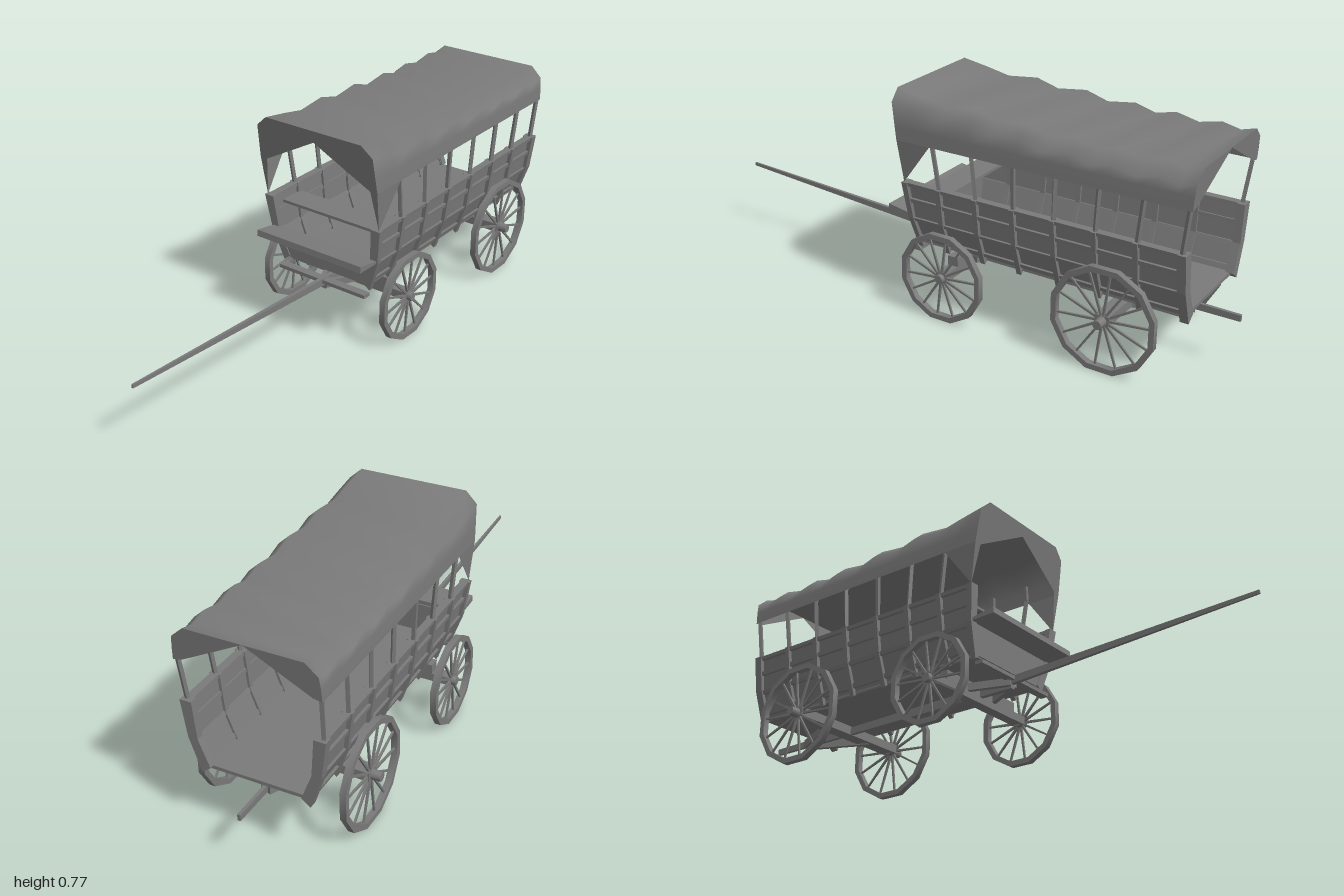
import * as THREE from 'three';
import { toCreasedNormals } from 'three/addons/utils/BufferGeometryUtils.js';

const wood = new THREE.MeshStandardMaterial({ color: 0x7a7a7a });
const cloth = new THREE.MeshStandardMaterial({ color: 0x7a7a7a, side: THREE.DoubleSide });
const V = (x, y, z) => new THREE.Vector3(x, y, z);
const lerp = THREE.MathUtils.lerp;

export function createModel() {
  const root = new THREE.Group();
  root.name = 'coveredWagon';

  const add = (name, geo, parent = root, mat = wood) => {
    const m = new THREE.Mesh(geo, mat);
    m.name = name;
    parent.add(m);
    return m;
  };
  const box = (name, x0, x1, y0, y1, z0, z1) => {
    const m = add(name, new THREE.BoxGeometry(x1 - x0, y1 - y0, z1 - z0));
    m.position.set((x0 + x1) / 2, (y0 + y1) / 2, (z0 + z1) / 2);
  };
  // square timber from a to b, optionally tapering
  const beam = (name, a, b, w, d = w, parent = root, taper = 1) => {
    const g = new THREE.BoxGeometry(w, d, a.distanceTo(b));
    const p = g.attributes.position;
    for (let i = 0; i < p.count; i++)
      if (p.getZ(i) > 0) p.setXY(i, p.getX(i) * taper, p.getY(i) * taper);
    const m = add(name, g, parent);
    m.position.copy(a).add(b).multiplyScalar(0.5);
    m.lookAt(b);
  };

  // ---- wheels ----
  const wheel = (name, x, apothem, z, side, hubOut) => {
    const g = new THREE.Group();
    g.name = name;
    const ro = apothem / Math.cos(Math.PI / 12), ri = ro - 0.019, h = 0.011;
    const ring = [[ri, -h], [ro, -h], [ro, h], [ri, h], [ri, -h]].map(p => new THREE.Vector2(...p));
    const rim = new THREE.LatheGeometry(ring, 12, Math.PI / 12).rotateX(Math.PI / 2);
    add('rim', toCreasedNormals(rim, 0.7), g);
    for (let i = 0; i < 14; i++) {
      const a = (i / 14) * Math.PI * 2 + 0.1, c = Math.cos(a), s = Math.sin(a);
      beam('spoke', V(c * 0.01, s * 0.01, 0), V(c * (ri + 0.004), s * (ri + 0.004), 0), 0.008, 0.008, g, 0.75);
    }
    const len = hubOut - z + 0.025;
    const hub = add('hub', new THREE.CylinderGeometry(0.015, 0.02, len, 10).rotateX(side * Math.PI / 2), g);
    hub.position.z = side * (len / 2 - 0.025);
    g.position.set(x, apothem, side * z);
    root.add(g);
  };
  for (const s of [1, -1]) {
    wheel('frontWheel', 0.05, 0.155, 0.251, s, 0.27);
    wheel('rearWheel', 0.65, 0.178, 0.248, s, 0.287);
  }

  // ---- running gear ----
  box('frontAxle', 0.03, 0.07, 0.143, 0.172, -0.255, 0.255);
  box('frontBolster', 0.03, 0.07, 0.172, 0.205, -0.184, 0.184);
  box('rearAxle', 0.625, 0.675, 0.165, 0.197, -0.255, 0.255);
  box('doubletree', -0.115, -0.085, 0.192, 0.205, -0.184, 0.184);
  beam('reach', V(-0.1, 0.183, 0), V(1, 0.178, 0), 0.018, 0.036, root, 0.6);
  beam('tongue', V(0.1, 0.183, 0), V(-1, 0.247, 0), 0.017, 0.03, root, 0.4);
  for (const s of [1, -1]) {
    beam('rearHound', V(0.64, 0.176, s * 0.104), V(0.85, 0.176, s * 0.008), 0.016, 0.03);
    beam('frontHound', V(0.1, 0.176, s * 0.1), V(-0.1, 0.186, s * 0.01), 0.016, 0.026);
  }

  // ---- body: flared side profile as [z, y] ----
  const outer = [[0.185, 0.213], [0.225, 0.33], [0.243, 0.46]];
  const inner = [[0.155, 0.237], [0.192, 0.33], [0.203, 0.46]];
  const between = f => outer.map((o, i) => [lerp(inner[i][0], o[0], f), lerp(inner[i][1], o[1], f)]);
  const section = (f0, f1) => [...between(f0), ...between(f1).reverse()];
  const zAt = (y, f) => {
    const p = between(f), i = y < 0.33 ? 0 : 1;
    return lerp(p[i][0], p[i + 1][0], (y - p[i][1]) / (p[i + 1][1] - p[i][1]));
  };
  // the front end leans forward
  const lean = g => {
    const p = g.attributes.position;
    for (let i = 0; i < p.count; i++) {
      const w = THREE.MathUtils.clamp(-p.getX(i) / 0.08, 0, 1);
      p.setX(i, p.getX(i) - w * 0.11 * (p.getY(i) - 0.23));
    }
    return g;
  };
  // extrude a [z, y] outline along x
  const slab = (name, pts, x0, x1) => {
    const shape = new THREE.Shape(pts.map(([z, y]) => new THREE.Vector2(-z, y)));
    const g = new THREE.ExtrudeGeometry(shape, { depth: x1 - x0, bevelEnabled: false });
    add(name, lean(g.rotateY(Math.PI / 2).translate(x0, 0, 0)));
  };
  const posts = [-0.08, 0.03, 0.17, 0.31, 0.455, 0.6, 0.74, 0.885];
  for (const s of [1, -1]) {
    const flip = pts => pts.map(([z, y]) => [s * z, y]);
    slab('sideWall', flip(section(0.35, 0.6)), -0.08, 0.9);
    for (const x of posts) slab('sidePost', flip(section(0.1, 1)), x - 0.009, x + 0.009);
    slab('tailPost', flip(section(0, 1)), 0.88, 0.905);
    for (const [y0, y1] of [[0.243, 0.257], [0.318, 0.33], [0.388, 0.402], [0.447, 0.46]])
      slab('sideRail', flip([[zAt(y0, 0.2), y0], [zAt(y0, 0.88), y0], [zAt(y1, 0.88), y1], [zAt(y1, 0.2), y1]]), -0.085, 0.895);
  }
  box('floor', -0.08, 0.89, 0.225, 0.237, -0.177, 0.177);
  slab('frontBoard', [[-0.172, 0.23], [0.172, 0.23], [0.207, 0.335], [-0.207, 0.335]], -0.085, -0.07);
  box('seat', -0.06, 0.035, 0.418, 0.428, -0.208, 0.208);
  // wedge-shaped board, thick at its front edge
  const wedge = new THREE.Shape([[-0.188, 0.335], [-0.085, 0.332], [-0.085, 0.34], [-0.185, 0.357]].map(p => new THREE.Vector2(...p)));
  add('footboard', new THREE.ExtrudeGeometry(wedge, { depth: 0.44, bevelEnabled: false }).translate(0, 0, -0.22));

  // ---- canvas cover ----
  const EAVE = 0.605;
  const ridge = [[-0.155, 0.768], [-0.06, 0.752], [0.025, 0.735], [0.14, 0.748], [0.22, 0.725], [0.33, 0.739],
    [0.41, 0.715], [0.51, 0.729], [0.585, 0.709], [0.655, 0.726], [0.735, 0.708], [0.81, 0.725], [0.875, 0.711], [0.925, 0.725]];
  const splay = (x, y) => x + (0.4 - x) * (x < 0.4 ? 0.045 : 0.02) * (1 - (y - EAVE) / 0.16);
  const pos = [], idx = [], n = 8;
  ridge.forEach(([x, top], i) => {
    const half = [[0.243, EAVE], [0.241, 0.65], [0.237, top - 0.038], [0.195, top]];
    [...half, ...half.map(([z, y]) => [-z, y]).reverse()].forEach(([z, y], j) => {
      pos.push(splay(x, y), y, z);
      if (i && j) {
        const d = i * n + j, a = d - n - 1;
        idx.push(a, d - 1, d, a, d, d - n);
      }
    });
  });
  const cover = new THREE.BufferGeometry();
  cover.setAttribute('position', new THREE.Float32BufferAttribute(pos, 3));
  cover.setIndex(idx);
  cover.computeVertexNormals();
  add('canvasCover', cover, root, cloth);

  // flat cloth panel in an end plane, outline as [z, y]
  const endPanel = (name, x, pts) => {
    const g = new THREE.ShapeGeometry(new THREE.Shape(pts.map(p => new THREE.Vector2(...p))));
    const p = g.attributes.position;
    for (let i = 0; i < p.count; i++) p.setXYZ(i, splay(x, p.getY(i)), p.getY(i), p.getX(i));
    // the swap of axes reverses the corners, so turn the front face outward at the front end
    if (x > 0) g.index.array.reverse();
    g.computeVertexNormals();
    add(name, g, root, cloth);
  };
  for (const s of [1, -1]) {
    endPanel('rearGore', 0.925, [[0, 0.725], [s * 0.195, 0.725], [s * 0.237, 0.687], [s * 0.243, EAVE], [s * 0.213, 0.611]]);
    endPanel('frontGore', -0.155, [[0, 0.768], [s * 0.195, 0.768], [s * 0.237, 0.73], [s * 0.243, EAVE], [s * 0.235, 0.46], [s * 0.215, EAVE], [0, 0.725]]);
    const corners = [V(splay(-0.155, 0.46), 0.46, s * 0.235), V(0, EAVE, s * 0.243), V(splay(-0.155, EAVE), EAVE, s * 0.243)];
    const flap = new THREE.BufferGeometry().setFromPoints(s > 0 ? corners : corners.reverse());
    flap.computeVertexNormals();
    add('frontFlap', flap, root, cloth);
  }

  // ---- stays carrying the canvas, fanning out toward both ends ----
  [0.005, 0.155, 0.31, 0.462, 0.612, 0.76, 0.905].forEach((x, i) => {
    for (const s of [1, -1]) {
      beam('stay', V(posts[i + 1], 0.44, s * 0.226), V(x, 0.615, s * 0.234), 0.012);
      beam('stayTop', V(x, 0.61, s * 0.234), V(x, 0.67, s * 0.23), 0.012);
    }
  });
  return root;
}
